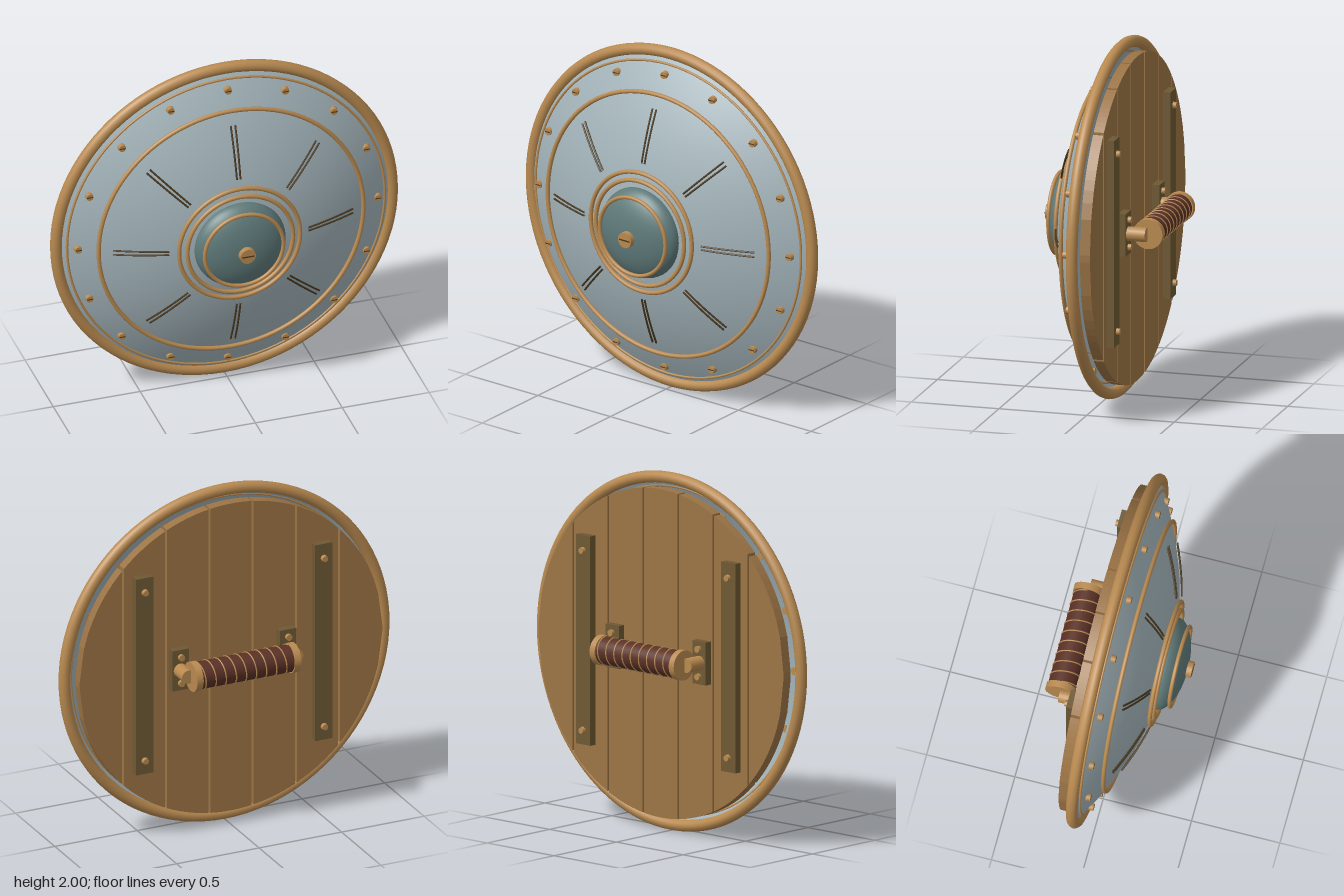
import * as THREE from 'three';

const mat = (name, color, side = THREE.FrontSide) => {
  const m = new THREE.MeshStandardMaterial({ color, side });
  m.name = name;
  return m;
};

export function createModel() {
  const steel = mat('pale steel', 0xa3b4ba, THREE.DoubleSide);
  const teal = mat('dark steel', 0x5f7a7a);
  const brass = mat('brass', 0xb98a50);
  const wood = mat('wood', 0x9c7445);
  const darkWood = mat('dark fittings', 0x6e5933);
  const leather = mat('leather', 0x5a3126);
  const groove = mat('dark groove', 0x493920);

  const shield = new THREE.Group();
  shield.name = 'shield';
  shield.position.y = 1;

  const add = (name, geo, material, x = 0, y = 0, z = 0, parent = shield) => {
    const m = new THREE.Mesh(geo, material);
    m.name = name;
    m.position.set(x, y, z);
    parent.add(m);
    return m;
  };
  const ring = (name, r, tube, z) => add(name, new THREE.TorusGeometry(r, tube, 12, 96), brass, 0, 0, z);
  // Cylinder along z between two depths
  const disc = (name, r, z0, z1, material, x, y, bevel = 1) =>
    add(name, new THREE.CylinderGeometry(r * bevel, r, z1 - z0, 20).rotateX(Math.PI / 2), material, x, y, (z0 + z1) / 2);

  // Domed face
  const faceZ = (r) => 0.246 - 0.324 * r * r;
  const facePoints = [];
  for (let i = 0; i <= 20; i++) {
    const r = 0.95 * (1 - i / 20);
    facePoints.push(new THREE.Vector2(r, faceZ(r)));
  }
  add('face', new THREE.LatheGeometry(facePoints, 72).rotateX(Math.PI / 2), steel);

  // Rim and decorative rings
  ring('rim', 0.967, 0.033, -0.054);
  ring('edgeBead', 0.914, 0.007, -0.022);
  ring('outerRing', 0.762, 0.012, 0.07);
  ring('middleRing', 0.348, 0.012, 0.222);
  ring('innerRing', 0.304, 0.012, 0.234);

  // Central boss with its ring and stud
  const bossPoints = [new THREE.Vector2(0.26, 0.2)];
  for (let i = 0; i <= 16; i++) {
    const a = (i / 16) * Math.PI / 2;
    bossPoints.push(new THREE.Vector2(0.26 * Math.cos(a), 0.228 + 0.118 * Math.sin(a)));
  }
  add('boss', new THREE.LatheGeometry(bossPoints, 64).rotateX(Math.PI / 2), teal);
  ring('bossRing', 0.226, 0.011, 0.301);
  disc('bossStud', 0.047, 0.33, 0.374, brass, 0, 0, 0.95);
  add('bossStudSlot', new THREE.BoxGeometry(0.07, 0.007, 0.004), groove, 0, 0, 0.375);

  // Slotted rivets around the edge
  for (let i = 0; i < 16; i++) {
    const a = (i / 16) * Math.PI * 2;
    const x = 0.862 * Math.cos(a), y = 0.862 * Math.sin(a);
    disc('edgeRivet', 0.022, 0.0, 0.026, brass, x, y, 0.9);
    add('edgeRivetSlot', new THREE.BoxGeometry(0.034, 0.005, 0.003), groove, x, y, 0.027);
  }

  // Eight pairs of engraved rays, following the dome just above its surface
  for (let i = 0; i < 8; i++) {
    const ray = new THREE.Group();
    ray.name = 'ray';
    ray.rotation.z = (i / 8) * Math.PI * 2;
    shield.add(ray);
    for (const s of [-1, 1]) {
      const pts = [];
      for (let k = 0; k <= 6; k++) {
        const r = 0.4 + 0.29 * k / 6;
        pts.push(new THREE.Vector3(r, s * (0.01 + 0.003 * k / 6), faceZ(r) + 0.012));
      }
      add('rayLine', new THREE.TubeGeometry(new THREE.CatmullRomCurve3(pts), 12, 0.0055, 6), groove, 0, 0, 0, ray);
    }
  }

  // Back planks cut to a circle
  const R = 0.917;
  for (let i = 0; i < 7; i++) {
    const left = -R + i * 2 * R / 7 + (i ? 0.006 : 0);
    const right = -R + (i + 1) * 2 * R / 7 - (i < 6 ? 0.006 : 0);
    const shape = new THREE.Shape();
    const n = 10;
    for (let side = 0; side < 2; side++) {
      for (let k = 0; k <= n; k++) {
        const t = side ? 1 - k / n : k / n;
        const x = left + (right - left) * t;
        const y = Math.sqrt(Math.max(R * R - x * x, 0.0004)) * (side ? 1 : -1);
        if (k === 0 && side === 0) shape.moveTo(x, y);
        else shape.lineTo(x, y);
      }
    }
    add('plank', new THREE.ExtrudeGeometry(shape, { depth: 0.058, bevelEnabled: false }), wood, 0, 0, -0.143);
  }

  for (const s of [-1, 1]) {
    // Vertical battens
    add('batten', new THREE.BoxGeometry(0.106, 1.17, 0.044), darkWood, s * 0.543, 0.005, -0.163);
    for (const y of [-0.5, 0.505]) {
      add('battenRivet', new THREE.CylinderGeometry(0.02, 0.017, 0.022, 16).rotateX(Math.PI / 2), brass, s * 0.543, y, -0.194);
    }
    // Handle mounts
    add('mountPlate', new THREE.BoxGeometry(0.1, 0.24, 0.046), darkWood, s * 0.325, 0, -0.163);
    for (const y of [-0.077, 0.077]) {
      disc('mountRivet', 0.018, -0.205, -0.18, brass, s * 0.325, y);
    }
    disc('mountArm', 0.04, -0.292, -0.18, brass, s * 0.328, 0);
    // Grip end caps
    add('gripCap', new THREE.CylinderGeometry(0.084, 0.084, 0.038, 32).rotateZ(Math.PI / 2), brass, s * 0.296, 0, -0.294);
  }

  // Leather grip with spiral cord
  add('grip', new THREE.CylinderGeometry(0.077, 0.077, 0.57, 32).rotateZ(Math.PI / 2), leather, 0, 0, -0.294);
  const cordPoints = [];
  const turns = 9;
  for (let i = 0; i <= turns * 14; i++) {
    const a = (i / 14) * Math.PI * 2;
    cordPoints.push(new THREE.Vector3(-0.275 + 0.55 * i / (turns * 14), 0.078 * Math.cos(a), 0.078 * Math.sin(a)));
  }
  add('gripCord', new THREE.TubeGeometry(new THREE.CatmullRomCurve3(cordPoints), 250, 0.004, 6), brass, 0, 0, -0.294);

  const model = new THREE.Group();
  model.name = 'roundShield';
  model.add(shield);
  return model;
}
